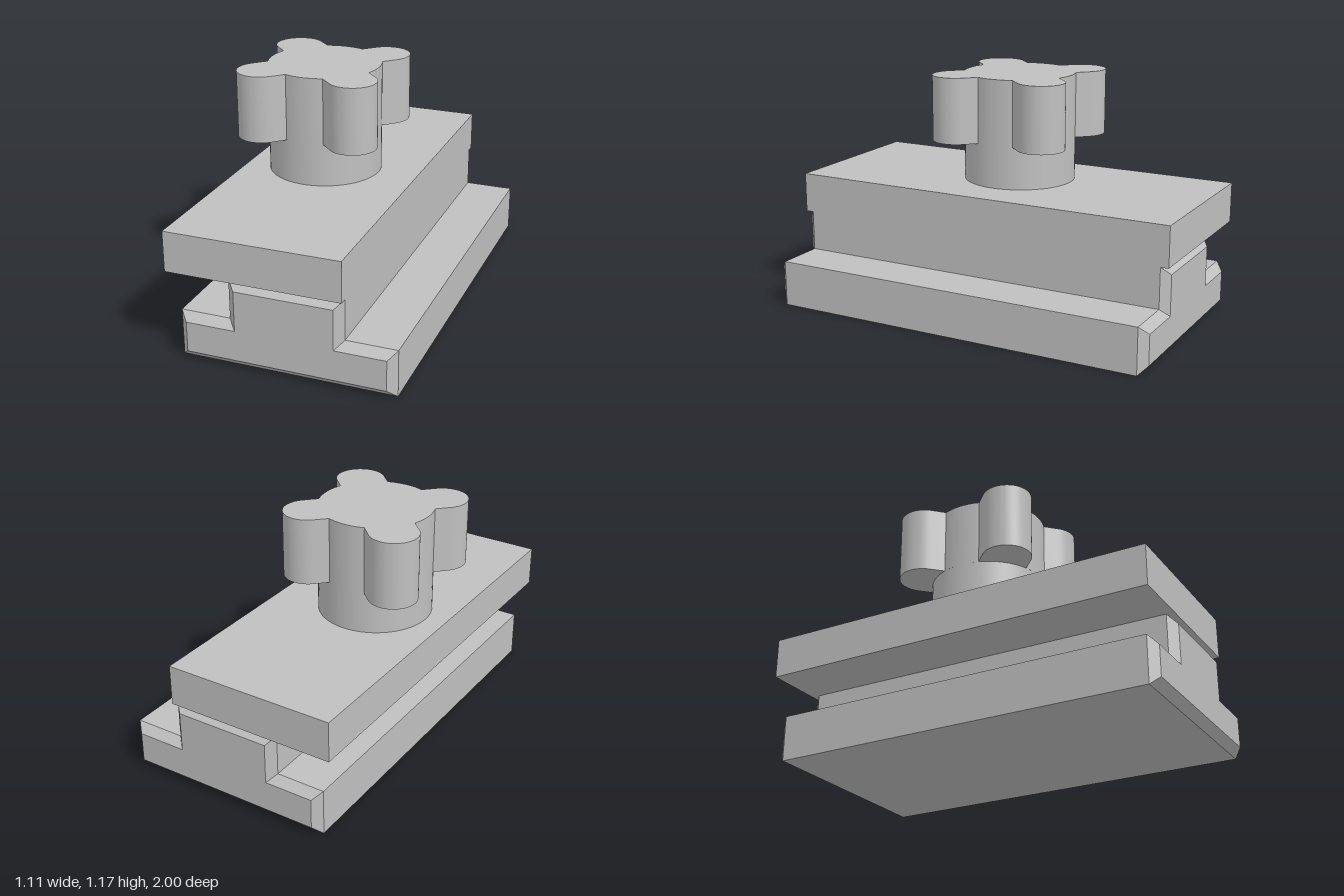
import * as THREE from 'three';
import { toCreasedNormals } from 'three/addons/utils/BufferGeometryUtils.js';

export function createModel() {
  const group = new THREE.Group();
  const steel = new THREE.MeshStandardMaterial({ color: 0xc0c0c0 });
  steel.name = 'steel grey';

  const add = (name, geometry, x, y, z) => {
    const mesh = new THREE.Mesh(geometry, steel);
    mesh.name = name;
    mesh.position.set(x, y, z);
    group.add(mesh);
  };

  // T-shaped rail along z, chamfered at both ends
  const chamfer = 0.04;
  const section = new THREE.Shape([
    [-0.497, 0], [0.553, 0], [0.553, 0.23], [0.305, 0.23],
    [0.305, 0.43], [-0.253, 0.43], [-0.253, 0.23], [-0.497, 0.23],
  ].map(([x, y]) => new THREE.Vector2(x, y)));
  const rail = new THREE.ExtrudeGeometry(section, {
    depth: 2 - 2 * chamfer, bevelEnabled: true, bevelSegments: 1,
    bevelSize: chamfer, bevelThickness: chamfer, bevelOffset: -chamfer,
  });
  add('tRail', rail, 0, 0, -1 + chamfer);

  // Offset clamping plate
  add('clampPlate', new THREE.BoxGeometry(0.858, 0.2, 2), -0.124, 0.53, 0);

  // Round neck below the knob
  const knobX = -0.173, neckR = 0.28;
  add('knobNeck', new THREE.CylinderGeometry(neckR, neckR, 0.212, 64), knobX, 0.736, 0);

  // Knob: round core with four rounded diagonal lobes
  const lobeR = 0.119, lobeOffset = 0.234;
  const half = Math.asin(lobeR / neckR);
  const outline = new THREE.Shape();
  for (let k = 0; k < 4; k++) {
    const a = Math.PI / 4 + k * Math.PI / 2;
    const cx = Math.sign(Math.cos(a)) * lobeOffset;
    const cy = Math.sign(Math.sin(a)) * lobeOffset;
    outline.absarc(0, 0, neckR, a - Math.PI / 2 + half, a - half, false);
    outline.absarc(cx, cy, lobeR, a - Math.PI / 2, a + Math.PI / 2, false);
  }
  const knob = new THREE.ExtrudeGeometry(outline, { depth: 0.33, bevelEnabled: false, curveSegments: 20 });
  knob.rotateX(-Math.PI / 2);
  add('lobedKnob', toCreasedNormals(knob, 0.5), knobX, 0.842, 0);

  return group;
}
